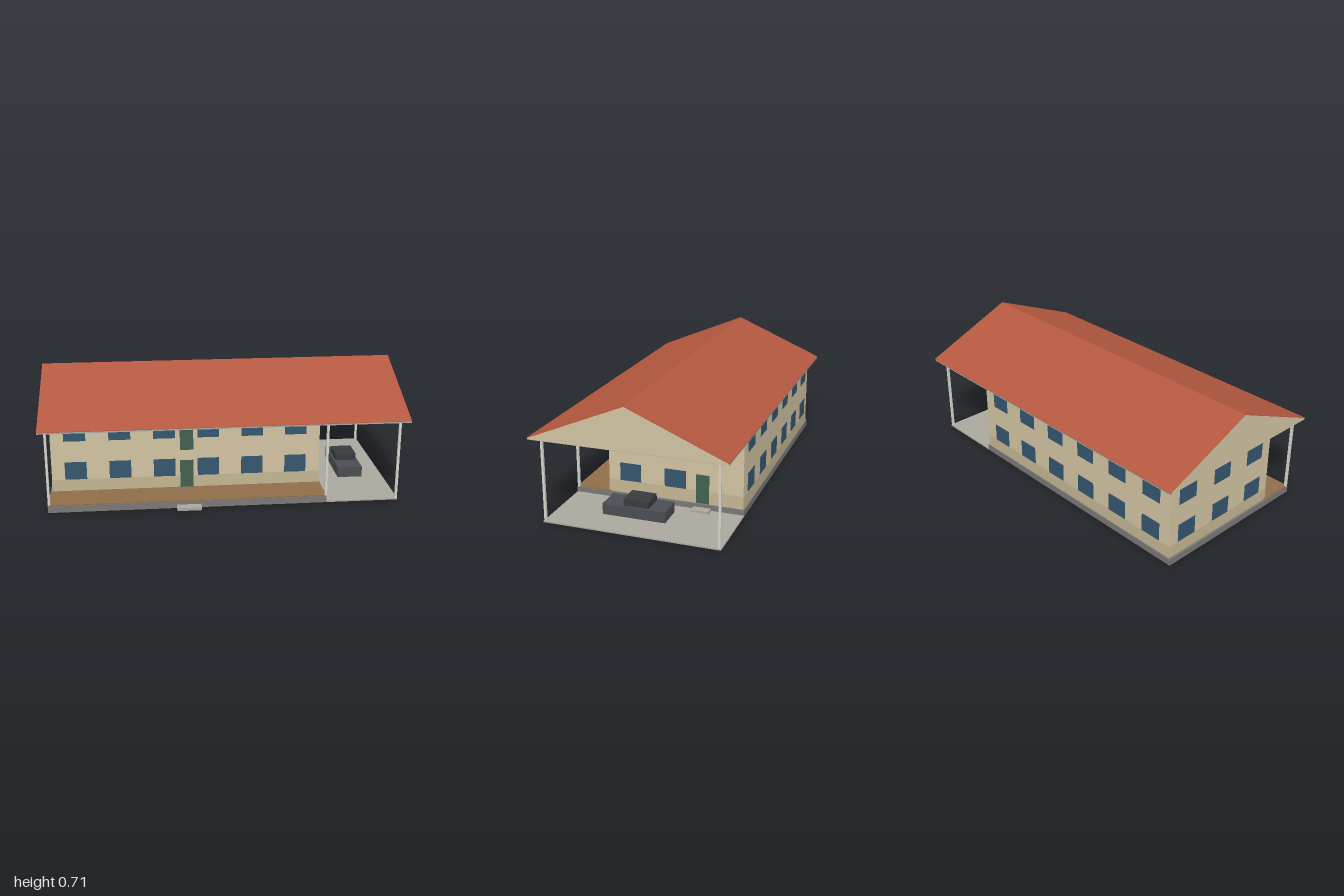
import * as THREE from 'three';

const mat = (color) => new THREE.MeshStandardMaterial({ color });
const mats = {
  wall: mat(0xd2c3a2), plinth: mat(0xc4b593), roof: mat(0xb5583f), soffit: mat(0xa9a9a4),
  window: mat(0x35566f), door: mat(0x42604f), deck: mat(0x8f6d48), base: mat(0x7a7876),
  slab: mat(0xaaa79f), post: mat(0xd6d4cc), carBody: mat(0x4b4d53), carCabin: mat(0x383b3e),
};

export function createModel() {
  const model = new THREE.Group();
  model.name = 'house';

  const add = (name, geometry, material, parent = model) => {
    const mesh = new THREE.Mesh(geometry, material);
    mesh.name = name;
    parent.add(mesh);
    return mesh;
  };
  // Box given by its extents on each axis
  const box = (name, material, [x0, x1], [y0, y1], [z0, z1], parent) => {
    const mesh = add(name, new THREE.BoxGeometry(x1 - x0, y1 - y0, z1 - z0), material, parent);
    mesh.position.set((x0 + x1) / 2, (y0 + y1) / 2, (z0 + z1) / 2);
    return mesh;
  };

  // Ground works
  box('foundation', mats.base, [-0.97, 0.56], [0, 0.038], [-0.486, 0.486]);
  box('porchDeck', mats.deck, [-0.965, 0.555], [0.038, 0.043], [0.285, 0.483]);
  box('carportSlab', mats.slab, [0.56, 0.963], [0, 0.008], [-0.486, 0.486]);
  box('frontStep', mats.slab, [-0.272, -0.138], [0.003, 0.02], [0.486, 0.534]);
  box('sideStep', mats.slab, [0.56, 0.607], [0.008, 0.02], [-0.302, -0.203]);

  // Two-storey body with a darker band at its foot
  const X = [-0.957, 0.55], Z = [-0.479, 0.291];
  box('walls', mats.wall, X, [0.038, 0.472], Z);
  const lip = 0.0015;
  box('plinthBand', mats.plinth, [X[0] - lip, X[1] + lip], [0.038, 0.112], [Z[0] - lip, Z[1] + lip]);

  // Thin window and door panels, u running along the wall
  const panel = (name, material, side, u, y, w, h) => {
    const t = 0.008;
    const along = side === 'front' || side === 'back';
    const mesh = add(name, new THREE.BoxGeometry(along ? w : t, h, along ? t : w), material);
    if (along) mesh.position.set(u, y, side === 'front' ? Z[1] : Z[0]);
    else mesh.position.set(side === 'left' ? X[1] : X[0], y, u);
  };
  const rows = [0.163, 0.389];
  rows.forEach((y, floor) => {
    for (let i = 0; i < 6; i++) {
      const x = -0.823 + i * 0.247;
      panel('frontWindow', mats.window, 'front', x, y, 0.121, 0.102);
      panel('backWindow', mats.window, 'back', x, y, 0.121, 0.102);
    }
    for (let i = 0; i < 3; i++) {
      const z = 0.163 - i * 0.26;
      panel('rightWindow', mats.window, 'right', z, y, 0.121, 0.102);
      // The ground-floor door takes the place of the last window here
      if (floor === 1 || i < 2) panel('leftWindow', mats.window, 'left', z, y, 0.121, 0.102);
    }
    panel('frontDoor', mats.door, 'front', -0.204, 0.122 + floor * 0.226, 0.075, 0.164);
  });
  panel('sideDoor', mats.door, 'left', -0.252, 0.122, 0.073, 0.164);

  // Posts under the eaves of the porch and carport
  for (const [x, y, z] of [
    [-0.963, 0.038, 0.476], [0.556, 0.038, 0.476], [0.955, 0.008, 0.476], [0.955, 0.008, -0.476],
  ]) {
    const r = 0.0065;
    box('post', mats.post, [x - r, x + r], [y, 0.472], [z - r, z + r]);
  }

  // Roof: gabled core, flat soffit with fascia, and two tiled slopes
  const extrudeAlongX = (name, points, material, half) => {
    const shape = new THREE.Shape(points.map(([z, y]) => new THREE.Vector2(-z, y)));
    const geometry = new THREE.ExtrudeGeometry(shape, { depth: half * 2, bevelEnabled: false });
    geometry.translate(0, 0, -half);
    geometry.rotateY(Math.PI / 2);
    return add(name, geometry, material);
  };
  extrudeAlongX('gables', [[-0.531, 0.471], [0.531, 0.471], [0.531, 0.478], [0, 0.703], [-0.531, 0.478]], mats.wall, 1);
  box('soffit', mats.soffit, [-0.9995, 0.9995], [0.469, 0.479], [-0.533, 0.533]);
  for (const s of [-1, 1]) {
    extrudeAlongX('roofSlope', [[0, 0.702], [s * 0.534, 0.477], [s * 0.534, 0.48], [0, 0.706]], mats.roof, 1);
  }

  // Parked car
  const car = new THREE.Group();
  car.name = 'car';
  model.add(car);
  box('carBody', mats.carBody, [0.684, 0.826], [0.03, 0.09], [-0.14, 0.209], car);
  box('carCabin', mats.carCabin, [0.695, 0.815], [0.09, 0.129], [-0.045, 0.094], car);

  return model;
}
